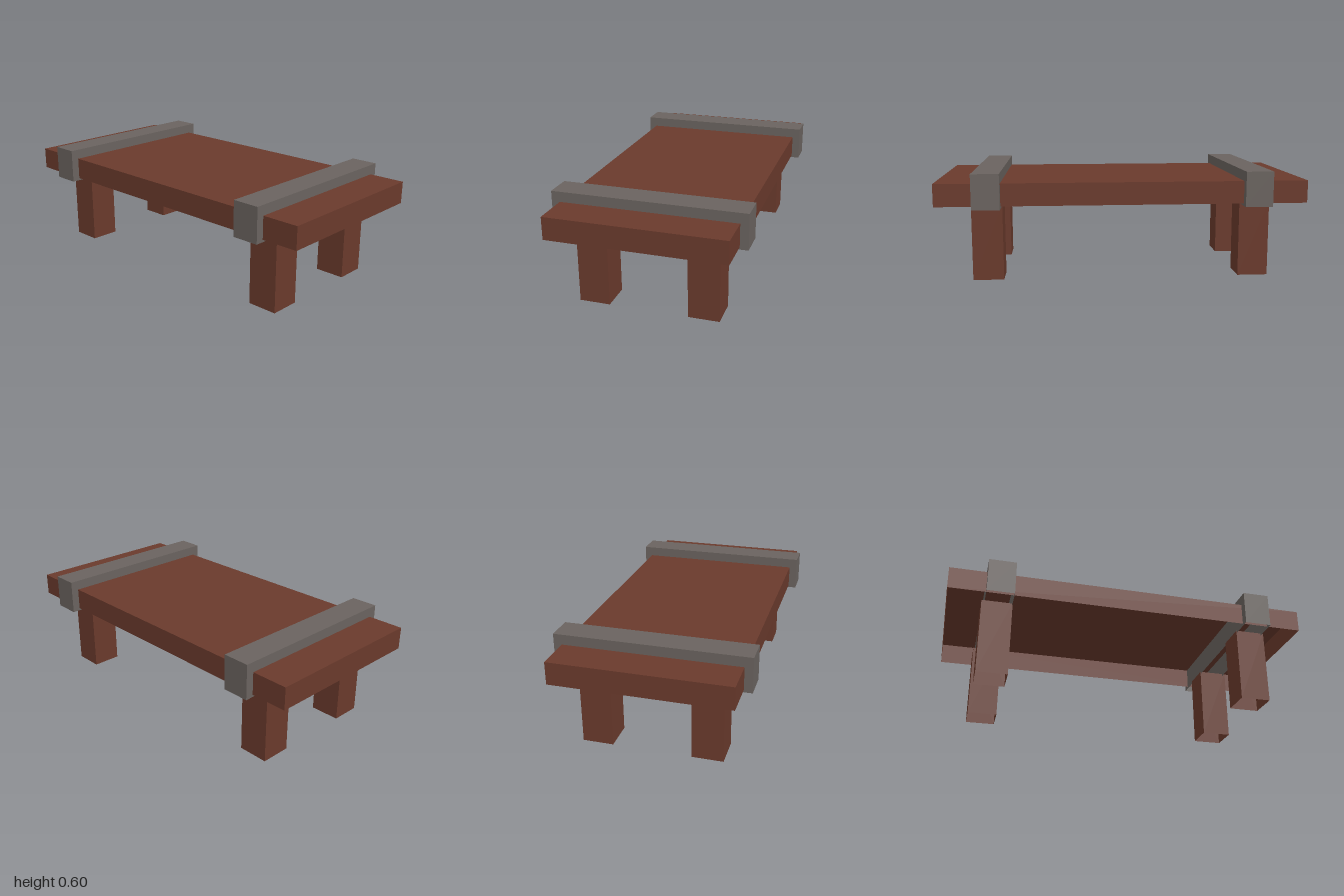
import * as THREE from 'three';

// Box shell with no underside
function openBox(w, h, d) {
  const geometry = new THREE.BoxGeometry(w, h, d);
  const index = Array.from(geometry.index.array);
  index.splice(18, 6); // the -y face
  geometry.setIndex(index);
  geometry.clearGroups();
  return geometry;
}

export function createModel() {
  const wood = new THREE.MeshStandardMaterial({ color: 0x6a3a2c, side: THREE.DoubleSide });
  wood.name = 'brown wood';
  const metal = new THREE.MeshStandardMaterial({ color: 0x6a635f, side: THREE.DoubleSide });
  metal.name = 'grey metal';

  const table = new THREE.Group();
  table.name = 'table';

  // Adds an open box spanning y0 to y1, centred on x and z
  const add = (name, material, w, d, y0, y1, x = 0, z = 0) => {
    const mesh = new THREE.Mesh(openBox(w, y1 - y0, d), material);
    mesh.name = name;
    mesh.position.set(x, (y0 + y1) / 2, z);
    table.add(mesh);
  };

  add('tableTop', wood, 2, 0.938, 0.42, 0.542);

  for (const side of [1, -1]) {
    const sideName = side > 0 ? 'left' : 'right';
    // Band wrapped across the top
    add(sideName + 'Band', metal, 0.148, 1.026, 0.407, 0.597, side * 0.725);
    // Front and back legs
    for (const end of [1, -1]) {
      const endName = end > 0 ? 'Front' : 'Back';
      add(sideName + endName + 'Leg', wood, 0.167, 0.167, 0, 0.42, side * 0.732, end * 0.297);
    }
  }
  return table;
}
